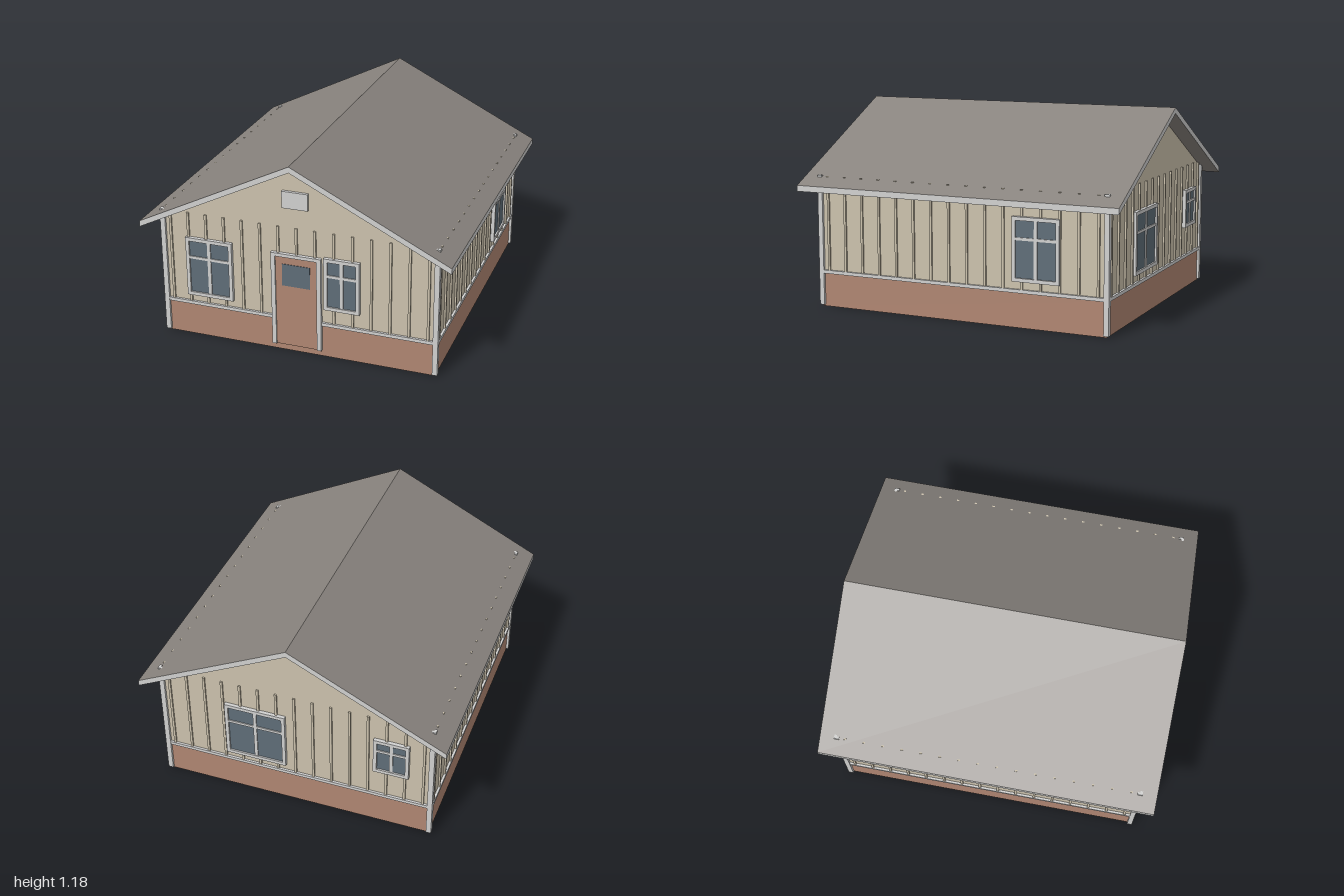
import * as THREE from 'three';

const HALF_X = 0.815, HALF_Z = 0.9;
const LEDGE = 0.2, BATTEN_TOP = 0.78;

const mat = (name, color, side = THREE.FrontSide) => {
  const m = new THREE.MeshStandardMaterial({ color, side });
  m.name = name;
  return m;
};

export function createModel() {
  const cream = mat('cream siding', 0xccc2ad, THREE.DoubleSide);
  const brick = mat('terracotta', 0xb08672, THREE.DoubleSide);
  const trim = mat('pale grey trim', 0xd1d1d0);
  const glass = mat('blue grey glass', 0x5f6d78);
  const roofing = mat('grey roofing', 0x88837e);

  const house = new THREE.Group();
  house.name = 'house';

  const add = (parent, name, geometry, material) => {
    const mesh = new THREE.Mesh(geometry, material);
    mesh.name = name;
    parent.add(mesh);
    return mesh;
  };

  // Box given by its limits; d is the distance out from the wall plane
  const slab = (parent, name, material, u0, u1, y0, y1, d0, d1) => {
    const g = new THREE.BoxGeometry(u1 - u0, y1 - y0, d1 - d0);
    g.translate((u0 + u1) / 2, (y0 + y1) / 2, (d0 + d1) / 2);
    return add(parent, name, g, material);
  };

  const polygon = (points) =>
    new THREE.Shape(points.map(([x, y]) => new THREE.Vector2(x, y)));

  // Window with a board frame, one upright bar and one crossbar
  const addWindow = (wall, u, width, y0, y1) => {
    const w = new THREE.Group();
    w.name = 'window';
    wall.add(w);
    const a = u - width / 2, b = u + width / 2, t = 0.021;
    const frame = polygon([[a, y0], [b, y0], [b, y1], [a, y1]]);
    frame.holes.push(new THREE.Path([
      [a + t, y0 + t], [a + t, y1 - t], [b - t, y1 - t], [b - t, y0 + t],
    ].map(([x, y]) => new THREE.Vector2(x, y))));
    add(w, 'windowFrame',
      new THREE.ExtrudeGeometry(frame, { depth: 0.022, bevelEnabled: false }), trim);
    slab(w, 'windowGlass', glass, a + t, b - t, y0 + t, y1 - t, -0.006, 0.012);
    slab(w, 'windowUpright', trim, u - 0.01, u + 0.01, y0 + t, y1 - t, 0.011, 0.018);
    const bar = y0 + (y1 - y0) * 0.66;
    slab(w, 'windowCrossbar', trim, a + t, b - t, bar - 0.008, bar + 0.008, 0.011, 0.018);
  };

  // One wall: brick base, siding, battens and ledge, turned to face outward
  const addWall = (name, angle, half, distance, peak, first, count, ledges) => {
    const wall = new THREE.Group();
    wall.name = name;
    wall.rotation.y = angle;
    wall.position.set(Math.sin(angle) * distance, 0, Math.cos(angle) * distance);
    house.add(wall);

    add(wall, 'brickBase', new THREE.ShapeGeometry(
      polygon([[-half, 0], [half, 0], [half, LEDGE], [-half, LEDGE]])), brick);
    const outline = [[-half, LEDGE], [half, LEDGE], [half, 0.755]];
    if (peak) outline.push([0, peak]);
    outline.push([-half, 0.755]);
    add(wall, 'siding', new THREE.ShapeGeometry(polygon(outline)), cream);

    for (let i = 0; i < count; i++) {
      const u = first - (2 * first * i) / (count - 1);
      slab(wall, 'batten', cream, u - 0.007, u + 0.007, LEDGE + 0.015, BATTEN_TOP, 0, 0.01);
    }
    for (const [a, b] of ledges) {
      slab(wall, 'ledge', trim, a, b, LEDGE, LEDGE + 0.02, 0, 0.014);
    }
    // Corner boards at both ends
    for (const s of [-1, 1]) {
      const inner = s * (half - 0.015), outer = s * (half + 0.015);
      slab(wall, 'cornerBoard', trim, Math.min(inner, outer), Math.max(inner, outer),
        0.01, 0.785, 0, 0.015);
    }
    return wall;
  };

  const front = addWall('frontWall', 0, HALF_X, HALF_Z, 1.16, -0.77, 15,
    [[-0.8, -0.15], [0.148, 0.8]]);
  const right = addWall('eastWall', Math.PI / 2, HALF_Z, HALF_X, 0, -0.85, 16,
    [[-0.885, 0.885]]);
  const back = addWall('backWall', Math.PI, HALF_X, HALF_Z, 1.16, -0.77, 15,
    [[-0.8, 0.8]]);
  const left = addWall('westWall', -Math.PI / 2, HALF_Z, HALF_X, 0, -0.85, 16,
    [[-0.885, 0.885]]);

  addWindow(front, -0.532, 0.285, 0.265, 0.63);
  addWindow(front, 0.27, 0.21, 0.31, 0.63);
  addWindow(right, 0.485, 0.285, 0.265, 0.63);
  addWindow(back, -0.24, 0.37, 0.265, 0.63);
  addWindow(back, 0.58, 0.21, 0.395, 0.63);
  addWindow(left, -0.58, 0.21, 0.395, 0.63);

  // Front door with its casing and pane
  const door = new THREE.Group();
  door.name = 'frontDoor';
  front.add(door);
  slab(door, 'doorPanel', brick, -0.125, 0.122, 0.04, 0.6, -0.015, 0.013);
  slab(door, 'doorPane', glass, -0.085, 0.082, 0.42, 0.555, 0.012, 0.016);
  slab(door, 'doorJamb', trim, -0.15, -0.125, 0.04, 0.6, -0.004, 0.022);
  slab(door, 'doorJamb', trim, 0.122, 0.148, 0.04, 0.6, -0.004, 0.022);
  slab(door, 'doorHead', trim, -0.15, 0.148, 0.6, 0.62, -0.004, 0.022);

  // Gable vent
  slab(front, 'gableVent', trim, -0.078, 0.075, 0.9, 1.0, 0, 0.018);

  // Gabled roof: slopes in roofing, gable ends and eave edges in trim
  const roofShape = polygon([
    [-0.917, 0.695], [0, 1.15], [0.917, 0.695],
    [0.917, 0.73], [0, 1.185], [-0.917, 0.73],
  ]);
  const roof = new THREE.ExtrudeGeometry(roofShape, { depth: 2, bevelEnabled: false });
  roof.translate(0, 0, -1);
  roof.clearGroups();
  const normals = roof.getAttribute('normal');
  for (let i = 0; i < normals.count; i += 3) {
    const slope = Math.abs(normals.getY(i)) > 0.1;
    roof.addGroup(i, 3, slope ? 0 : 1);
  }
  add(house, 'roof', roof, [roofing, trim]);

  return house;
}
